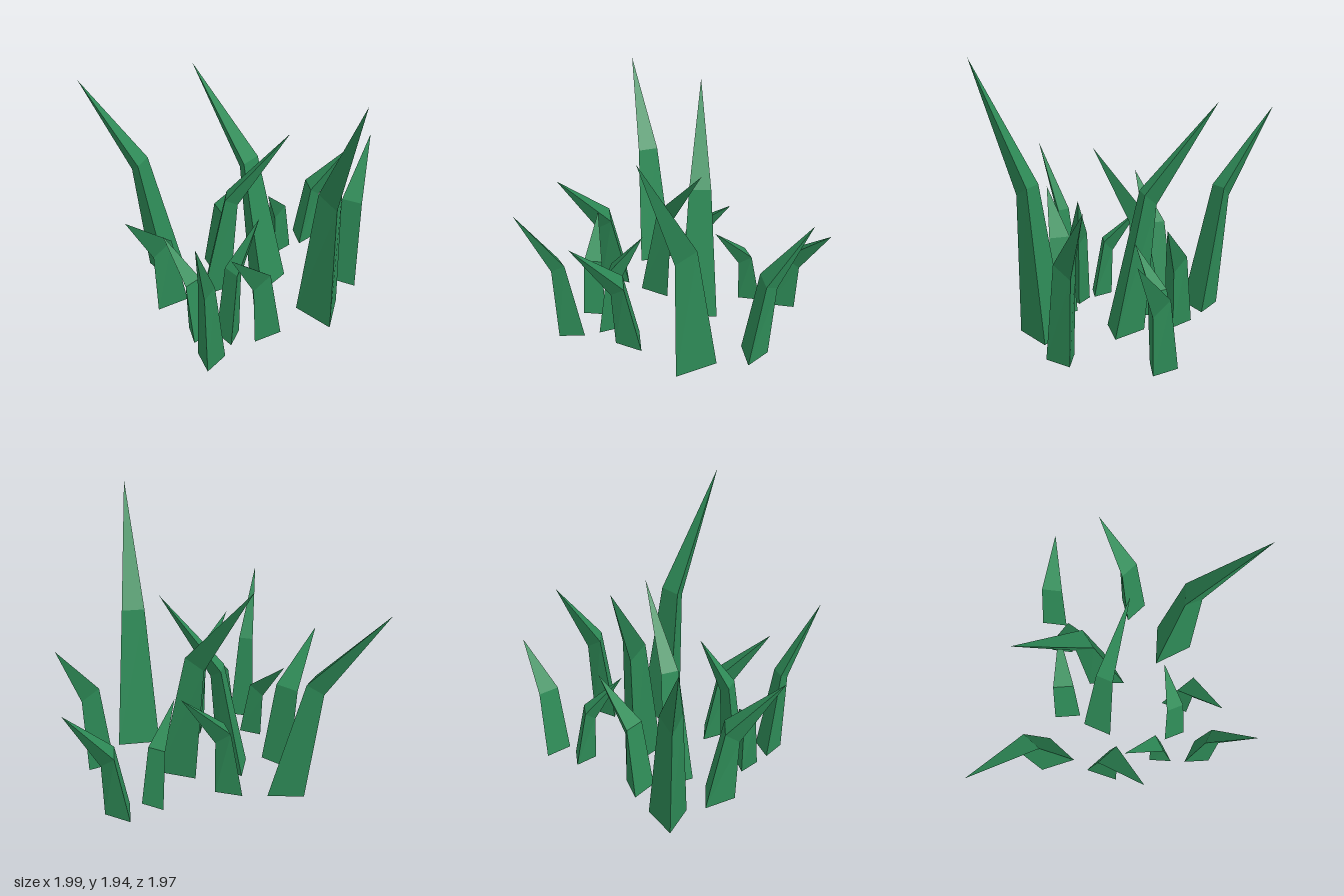
import * as THREE from 'three';

// Each blade: root edge centre x, z, root width; distance, height and width
// of the bend; tip x, y, z
const BLADES = [
  [0.33, 0.35, 0.32, 0.155, 1.08, 0.17, 0.25, 1.94, 0.98],
  [-0.495, -0.48, 0.262, 0.216, 0.94, 0.15, -0.985, 1.52, -0.99],
  [0.145, -0.01, 0.28, 0.22, 1.02, 0.16, -0.205, 1.64, -0.685],
  [-0.355, -0.19, 0.228, 0.177, 0.83, 0.13, 0.205, 1.35, 0.1],
  [0.635, 0.205, 0.2, 0.1, 0.69, 0.155, 0.965, 1.1, -0.07],
  [0.58, -0.49, 0.2, 0.09, 0.5, 0.16, 0.99, 0.8, -0.41],
  [0.415, -0.465, 0.17, 0.08, 0.43, 0.13, 0.18, 0.68, -0.195],
  [-0.23, -0.42, 0.2, 0.09, 0.52, 0.155, 0.19, 0.8, -0.42],
  [-0.605, -0.195, 0.24, 0.115, 0.6, 0.18, -1, 0.95, 0.11],
  [-0.575, 0.345, 0.17, 0.08, 0.45, 0.135, -0.72, 0.7, 0],
  [-0.45, 0.425, 0.165, 0.08, 0.56, 0.13, -0.13, 0.88, 0.325],
  [-0.11, 0.435, 0.21, 0.105, 0.57, 0.16, -0.49, 0.89, 0.7],
  [-0.585, 0.535, 0.19, 0.09, 0.67, 0.11, -0.785, 1.18, 0.87],
];

// Three-sided stalk that bends once and tapers to a point
function bladeGeometry([x, z, width, bend, bendY, bendWidth, tipX, tipY, tipZ]) {
  const root = new THREE.Vector3(x, 0, z);
  const tip = new THREE.Vector3(tipX, tipY, tipZ);
  const dir = new THREE.Vector3(tipX - x, 0, tipZ - z);
  const reach = dir.length();
  dir.normalize();
  const side = new THREE.Vector3(dir.z, 0, -dir.x);

  // Equilateral section whose point faces the lean, tilted down by an angle
  const section = (centre, w, tilt) => {
    const forward = dir.clone().multiplyScalar(Math.cos(tilt));
    forward.y = -Math.sin(tilt);
    return [
      centre.clone().addScaledVector(side, -w / 2),
      centre.clone().addScaledVector(forward, w * 0.866),
      centre.clone().addScaledVector(side, w / 2),
    ];
  };
  const low = section(root, width, 0);
  const middle = root.clone().addScaledVector(dir, bend).setY(bendY);
  const high = section(middle, bendWidth, Math.atan2(reach - bend, tipY - bendY));

  const points = [low[2], low[1], low[0]];
  for (let i = 0; i < 3; i++) {
    const j = (i + 1) % 3;
    points.push(low[i], low[j], high[j], low[i], high[j], high[i]);
    points.push(high[i], high[j], tip);
  }
  const geometry = new THREE.BufferGeometry().setFromPoints(points);
  geometry.computeVertexNormals();
  return geometry;
}

export function createModel() {
  const group = new THREE.Group();
  group.name = 'grassClump';
  const green = new THREE.MeshStandardMaterial({ color: 0x2e8b57, flatShading: true });
  BLADES.forEach((blade, i) => {
    const mesh = new THREE.Mesh(bladeGeometry(blade), green);
    mesh.name = `grassBlade${i + 1}`;
    group.add(mesh);
  });
  return group;
}
